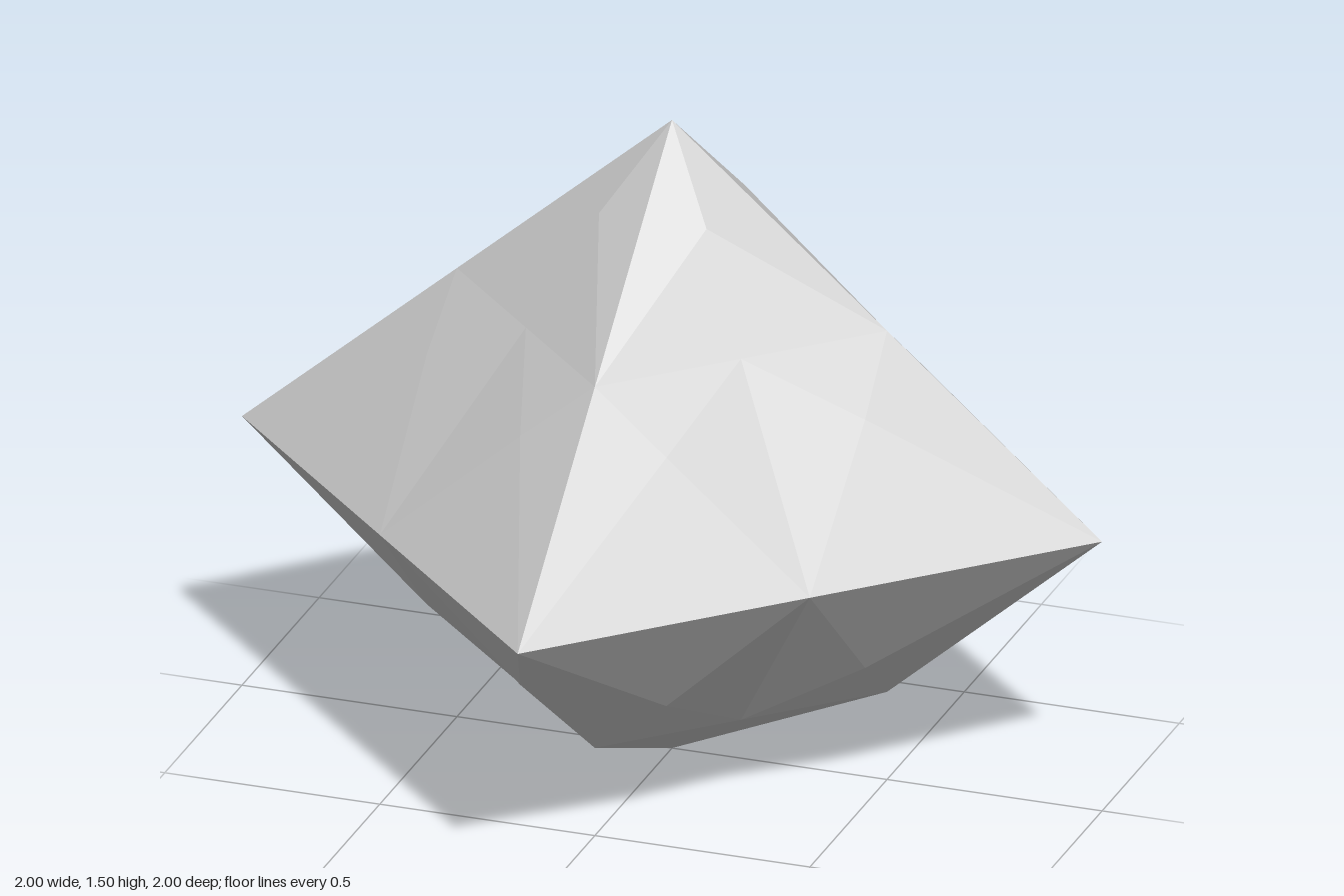
import * as THREE from 'three';

// Corner points of half a quarter (mirrored across x = z, then repeated four times)
const girdle = [1, 0.645, 0], girdleMid = [0.5, 0.645, 0.5];
const apex = [0, 1.505, 0], ridge = [0.5, 1.075, 0], crownMid = [0.25, 1.075, 0.25];
const crownBump = [0.125, 1.315, 0.125], shoulder = [0.51, 0.935, 0.17];
const tip = [0, 0, 0], keel = [0.5, 0.21, 0], keelMid = [0.25, 0.21, 0.25];
const facet = [0.51, 0.34, 0.17];

// Triangles from a centre point to each side of a closed outline
const fan = (centre, outline) =>
  outline.map((p, i) => [centre, p, outline[(i + 1) % outline.length]]);

// Mirror and repeat the triangles around y, with every face turned outward
function facetedGeometry(triangles) {
  const positions = [];
  const core = new THREE.Vector3(0, 0.645, 0);
  const up = new THREE.Vector3(0, 1, 0);
  for (let quarter = 0; quarter < 4; quarter++) {
    for (const mirrored of [false, true]) {
      for (const triangle of triangles) {
        const [a, b, c] = triangle.map(([x, y, z]) =>
          new THREE.Vector3(mirrored ? z : x, y, mirrored ? x : z)
            .applyAxisAngle(up, quarter * Math.PI / 2));
        const normal = b.clone().sub(a).cross(c.clone().sub(a));
        const outward = a.clone().add(b).add(c).divideScalar(3).sub(core);
        const ordered = normal.dot(outward) > 0 ? [a, b, c] : [a, c, b];
        for (const p of ordered) positions.push(p.x, p.y, p.z);
      }
    }
  }
  const geometry = new THREE.BufferGeometry();
  geometry.setAttribute('position', new THREE.Float32BufferAttribute(positions, 3));
  geometry.computeVertexNormals();
  return geometry;
}

export function createModel() {
  const group = new THREE.Group();
  group.name = 'gem';
  const material = new THREE.MeshStandardMaterial({ color: 0xcccccc, flatShading: true });

  const add = (name, triangles) => {
    const mesh = new THREE.Mesh(facetedGeometry(triangles), material);
    mesh.name = name;
    group.add(mesh);
  };

  // Upper pyramid with shallow facets
  add('crown', [
    [apex, ridge, crownBump],
    [ridge, crownMid, crownBump],
    ...fan(shoulder, [girdle, girdleMid, crownMid, ridge]),
  ]);

  // Lower band, angled in toward the base
  add('pavilion', fan(facet, [girdle, girdleMid, keelMid, keel]));

  // Shallow four-sided point underneath
  add('basePoint', [[tip, keel, keelMid]]);

  return group;
}
